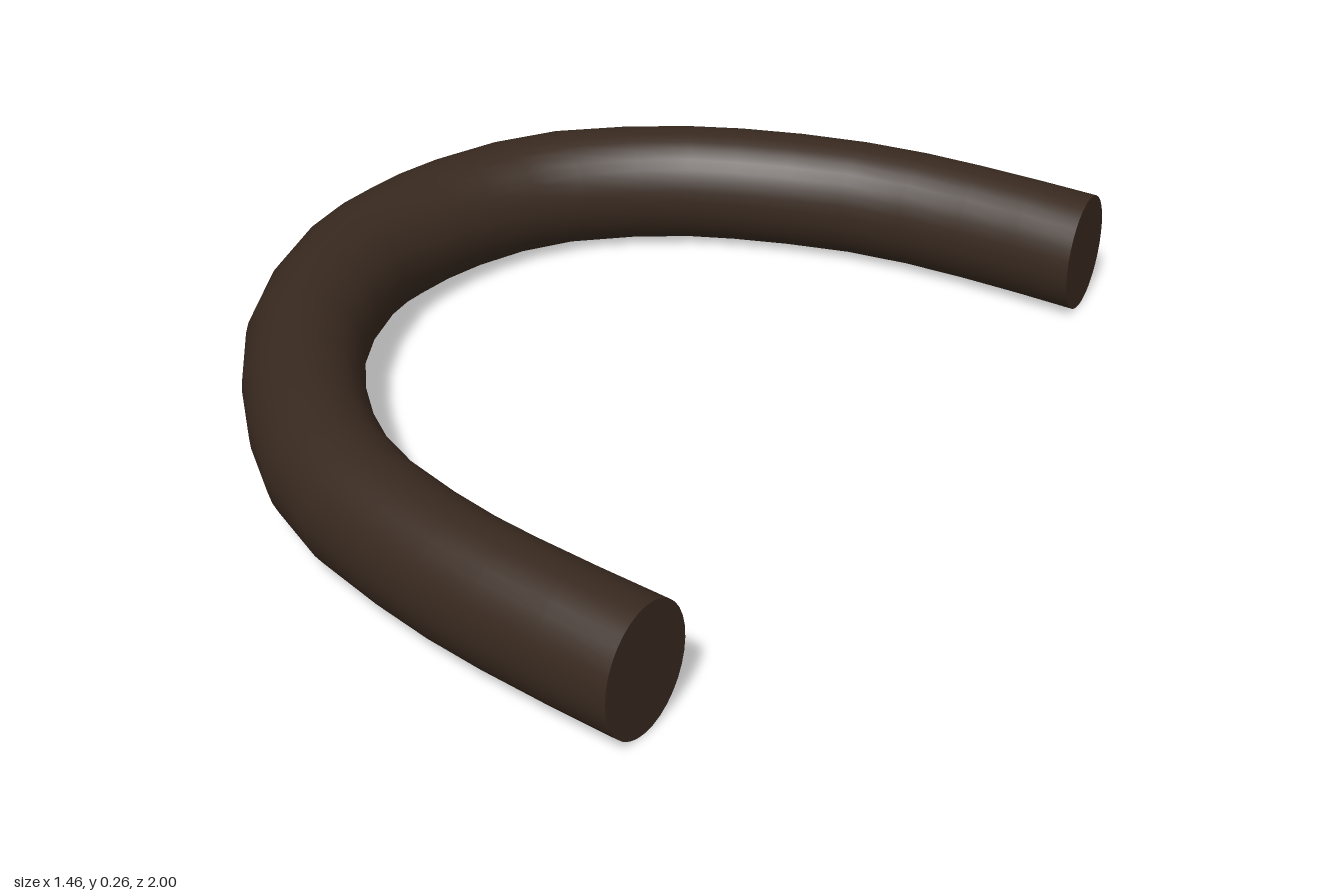
import * as THREE from 'three';

const SIDES = 32, SEGMENTS = 26, HALF_HEIGHT = 0.13;

// Plan of the bend, back end to front end: outer x, z and inner x, z
const PLAN = [
  [0.62, -1.0, 0.65, -0.777], [0.37, -0.985, 0.41, -0.767], [0.12, -0.95, 0.15, -0.73],
  [-0.156, -0.857, -0.077, -0.64], [-0.384, -0.72, -0.225, -0.56], [-0.61, -0.5, -0.394, -0.386],
  [-0.717, -0.222, -0.468, -0.2], [-0.732, -0.042, -0.484, -0.042], [-0.717, 0.138, -0.474, 0.08],
  [-0.585, 0.444, -0.362, 0.333], [-0.352, 0.7, -0.16, 0.55], [-0.103, 0.873, 0.04, 0.677],
  [0.198, 0.955, 0.278, 0.742], [0.45, 0.987, 0.465, 0.762], [0.73, 0.998, 0.73, 0.772],
];

// Elliptical cross-section spanning the outer and inner edge
function makeRing(outer, inner) {
  const centre = outer.clone().add(inner).multiplyScalar(0.5);
  const reach = outer.clone().sub(inner).multiplyScalar(0.5);
  const points = [];
  for (let j = 0; j < SIDES; j++) {
    const a = (j / SIDES) * Math.PI * 2;
    const p = centre.clone().addScaledVector(reach, Math.cos(a));
    p.y += HALF_HEIGHT * Math.sin(a);
    points.push(p);
  }
  return { centre, points };
}

function makeGeometry(points, index) {
  const geometry = new THREE.BufferGeometry().setFromPoints(points);
  geometry.setIndex(index);
  geometry.computeVertexNormals();
  return geometry;
}

function makeCap(ring, flip) {
  const index = [];
  for (let j = 0; j < SIDES; j++) {
    const a = j + 1, b = ((j + 1) % SIDES) + 1;
    index.push(0, flip ? b : a, flip ? a : b);
  }
  return makeGeometry([ring.centre, ...ring.points], index);
}

export function createModel() {
  const group = new THREE.Group();
  group.name = 'curvedHandle';
  const material = new THREE.MeshStandardMaterial({ color: 0x38291f });
  const add = (name, geometry) => {
    const mesh = new THREE.Mesh(geometry, material);
    mesh.name = name;
    group.add(mesh);
  };

  const edge = (k) => new THREE.CatmullRomCurve3(
    PLAN.map((r) => new THREE.Vector3(r[k], HALF_HEIGHT, r[k + 1])));
  const outer = edge(0), inner = edge(2);
  const rings = [];
  for (let i = 0; i <= SEGMENTS; i++) {
    rings.push(makeRing(outer.getPoint(i / SEGMENTS), inner.getPoint(i / SEGMENTS)));
  }

  // Bent bar
  const index = [];
  for (let i = 0; i < SEGMENTS; i++) {
    for (let j = 0; j < SIDES; j++) {
      const k = (j + 1) % SIDES;
      const a = i * SIDES + j, b = i * SIDES + k;
      const c = a + SIDES, d = b + SIDES;
      index.push(a, c, b, b, c, d);
    }
  }
  add('bentBar', makeGeometry(rings.flatMap((r) => r.points), index));

  // Flat end faces
  add('backEnd', makeCap(rings[0], false));
  add('frontEnd', makeCap(rings[SEGMENTS], true));
  return group;
}
